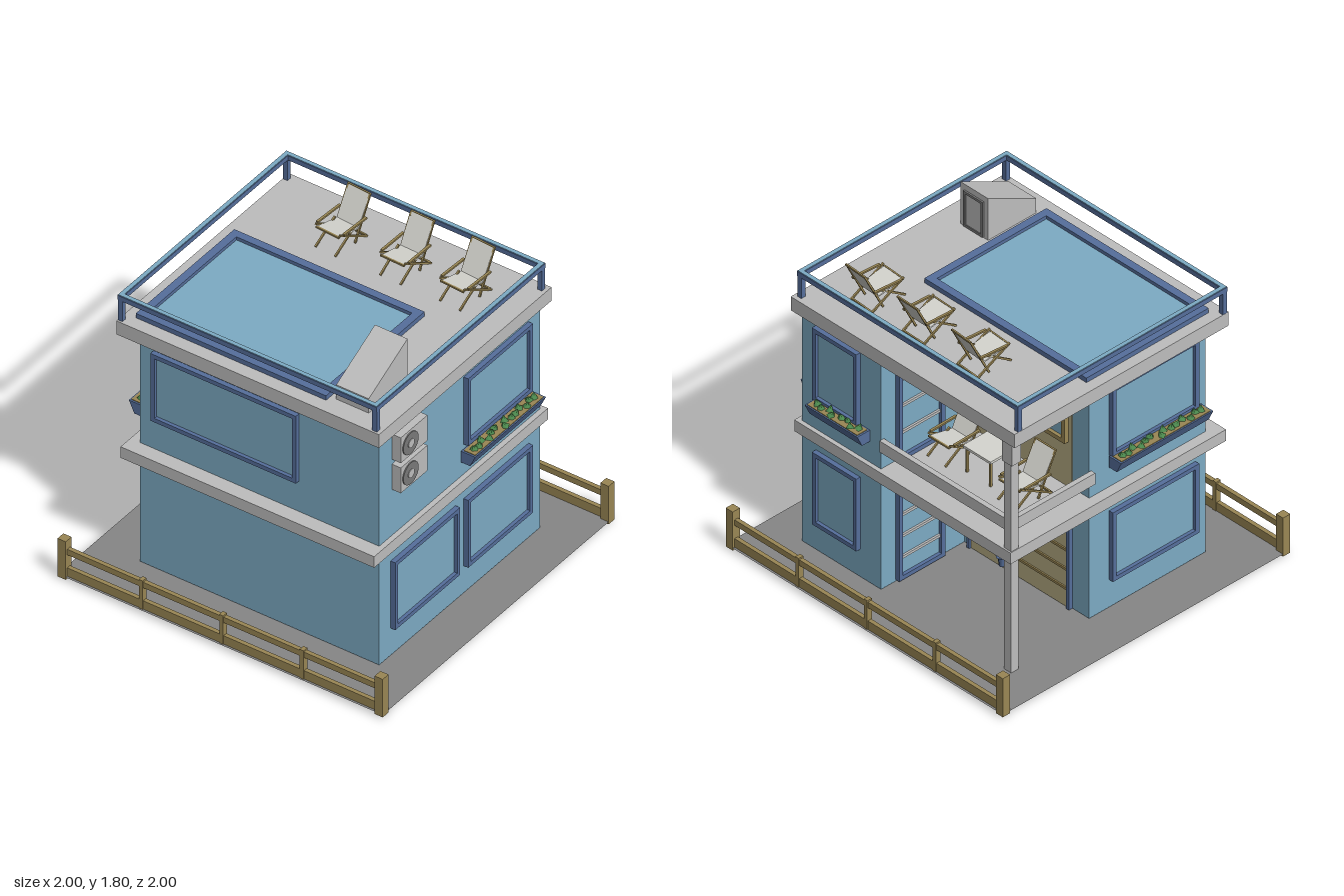
import * as THREE from 'three';

const mat = (name, color) => {
  const m = new THREE.MeshStandardMaterial({ color });
  m.name = name;
  return m;
};
const WALL = mat('wall blue', 0x7dabc4), FRAME = mat('frame blue', 0x566f9c), STONE = mat('pale stone', 0xbebebe);
const GROUND = mat('paving grey', 0x868686), WOOD = mat('fence wood', 0x9a8755), DARK = mat('dark grey', 0x7a7a7a);
const BEIGE = mat('beige panel', 0xb9ae85), LEAF = mat('leaf green', 0x4c8a4e), CLOTH = mat('canvas', 0xd6d6d0);
GROUND.side = THREE.DoubleSide;

function add(parent, name, geo, material) {
  const m = new THREE.Mesh(geo, material);
  m.name = name;
  parent.add(m);
  return m;
}
// Box given by its lower and upper limits on each axis
function box(parent, name, material, x0, x1, y0, y1, z0, z1) {
  const m = add(parent, name, new THREE.BoxGeometry(x1 - x0, y1 - y0, z1 - z0), material);
  m.position.set((x0 + x1) / 2, (y0 + y1) / 2, (z0 + z1) / 2);
  return m;
}
function group(parent, name, x = 0, y = 0, z = 0, turn = 0) {
  const g = new THREE.Group();
  g.name = name;
  g.position.set(x, y, z);
  g.rotation.y = turn;
  parent.add(g);
  return g;
}
// Straight bar in the y-z plane, at a given x
function bar(parent, name, material, x, [z0, y0], [z1, y1], w, t) {
  const m = add(parent, name, new THREE.BoxGeometry(w, t, Math.hypot(z1 - z0, y1 - y0)), material);
  m.position.set(x, (y0 + y1) / 2, (z0 + z1) / 2);
  m.rotation.x = -Math.atan2(y1 - y0, z1 - z0);
}
function ring(w, h, border, depth) {
  const s = new THREE.Shape([[-1, -1], [1, -1], [1, 1], [-1, 1]].map(([a, b]) => new THREE.Vector2(a * w / 2, b * h / 2)));
  const iw = w / 2 - border, ih = h / 2 - border;
  s.holes.push(new THREE.Path([[-1, -1], [-1, 1], [1, 1], [1, -1]].map(([a, b]) => new THREE.Vector2(a * iw, b * ih))));
  return new THREE.ExtrudeGeometry(s, { depth, bevelEnabled: false });
}
// Framed pane facing local +z, centred on its origin
function windowAt(parent, x, y, z, turn, w, h, frame = FRAME, bars = 0) {
  const g = group(parent, 'window', x, y, z, turn);
  add(g, 'windowFrame', ring(w, h, 0.025, 0.028), frame);
  box(g, 'windowPane', WALL, -w / 2 + 0.02, w / 2 - 0.02, -h / 2 + 0.02, h / 2 - 0.02, 0, 0.008);
  for (let i = 1; i <= bars; i++) {
    const by = -h / 2 + h * i / (bars + 1);
    box(g, 'windowBar', STONE, -w / 2 + 0.025, w / 2 - 0.025, by - 0.008, by + 0.008, 0.005, 0.02);
  }
}
// Tapered planter with leaves, its back on local z = 0
function planter(parent, x, y, z, turn, w) {
  const g = group(parent, 'planter', x, y, z, turn);
  const s = new THREE.Shape([[0, 0], [0.055, 0], [0.088, 0.07], [0, 0.07]].map(p => new THREE.Vector2(...p)));
  const geo = new THREE.ExtrudeGeometry(s, { depth: w, bevelEnabled: false });
  geo.rotateY(-Math.PI / 2).translate(w / 2, 0, 0);
  add(g, 'planterBox', geo, FRAME);
  box(g, 'planterSoil', WOOD, -w / 2 + 0.01, w / 2 - 0.01, 0.068, 0.074, 0.01, 0.08);
  const n = Math.round(w / 0.045);
  for (let i = 0; i < n; i++) {
    const leaf = add(g, 'leaves', new THREE.ConeGeometry(0.025, 0.036, 5), LEAF);
    leaf.position.set((i + 0.5) / n * (w - 0.04) - w / 2 + 0.02, 0.088, 0.045 + 0.016 * Math.sin(i * 2.4));
    leaf.rotation.set(0.3 * Math.sin(i * 1.7), i, 0.4 * Math.cos(i * 2.1));
  }
}
// Folding deck chair facing local +z
function deckChair(parent, x, y, z, turn) {
  const g = group(parent, 'deckChair', x, y, z, turn);
  for (const s of [-1, 1]) {
    bar(g, 'chairBackPost', WOOD, s * 0.07, [-0.13, 0.245], [-0.01, 0.005], 0.01, 0.01);
    bar(g, 'chairLeg', WOOD, s * 0.078, [0.12, 0.13], [-0.095, 0.005], 0.01, 0.01);
    bar(g, 'chairLeg', WOOD, s * 0.064, [0.14, 0.005], [-0.015, 0.105], 0.01, 0.01);
    bar(g, 'chairArm', WOOD, s * 0.085, [0.1, 0.127], [-0.08, 0.13], 0.014, 0.01);
  }
  bar(g, 'chairBackCloth', CLOTH, 0, [-0.13, 0.245], [-0.04, 0.08], 0.14, 0.008);
  bar(g, 'chairSeatCloth', CLOTH, 0, [-0.04, 0.08], [0.12, 0.115], 0.14, 0.008);
  for (const [cz, cy] of [[-0.13, 0.243], [0.12, 0.115], [-0.09, 0.01]])
    box(g, 'chairCrossBar', WOOD, -0.075, 0.075, cy - 0.005, cy + 0.005, cz - 0.005, cz + 0.005);
}
// Air conditioner on the +x wall
function airConditioner(parent, y) {
  const g = group(parent, 'airConditioner', 0.75, y, 0.455);
  box(g, 'unitCase', STONE, 0, 0.055, -0.08, 0.08, -0.115, 0.115);
  for (const [r, d, m] of [[0.066, 0.057, DARK], [0.026, 0.061, STONE]]) {
    const disc = add(g, 'unitFan', new THREE.CylinderGeometry(r, r, 0.008, 20), m);
    disc.rotation.z = Math.PI / 2;
    disc.position.set(d, 0, 0.035);
  }
  box(g, 'unitPipe', DARK, 0, 0.04, 0.02, 0.06, -0.135, -0.115);
}

export function createModel() {
  const root = new THREE.Group();
  root.name = 'house';

  // Ground and the two fences
  const ground = add(root, 'ground', new THREE.PlaneGeometry(2, 2), GROUND);
  ground.rotation.x = -Math.PI / 2;
  ground.position.y = 0.025;
  for (const z of [-0.975, 0.975]) {
    const f = group(root, 'fence', 0, 0, z);
    for (const x of [-0.975, 0.975]) box(f, 'fencePost', WOOD, x - 0.025, x + 0.025, 0.01, 0.25, -0.025, 0.025);
    box(f, 'lowerRail', WOOD, -0.96, 0.96, 0.015, 0.078, -0.012, 0.012);
    box(f, 'upperRail', WOOD, -0.96, 0.96, 0.16, 0.195, -0.012, 0.012);
    for (const x of [-0.495, 0, 0.495]) box(f, 'slimPost', WOOD, x - 0.012, x + 0.012, 0.02, 0.205, -0.016, 0.016);
  }

  // L-shaped walls, floor slab and roof slab
  box(root, 'mainWalls', WALL, -0.72, 0.75, 0.03, 1.46, -0.13, 0.68);
  box(root, 'wingWalls', WALL, 0.18, 0.75, 0.03, 1.46, -0.71, -0.13);
  box(root, 'floorSlab', STONE, -0.78, 0.78, 0.71, 0.78, -0.735, 0.765);
  box(root, 'roofSlab', STONE, -0.82, 0.795, 1.46, 1.545, -0.745, 0.745);

  // Windows: front, +x side, -x side, back wing
  const Q = Math.PI / 2;
  windowAt(root, -0.19, 1.185, 0.68, 0, 0.895, 0.425);
  windowAt(root, 0.75, 0.412, -0.33, Q, 0.56, 0.425);
  windowAt(root, 0.75, 0.412, 0.3, Q, 0.56, 0.425);
  windowAt(root, 0.75, 1.18, -0.33, Q, 0.56, 0.425);
  for (const y of [0.415, 1.19]) {
    windowAt(root, -0.72, y, 0.31, -Q, 0.6, 0.43);
    windowAt(root, 0.49, y + 0.01, -0.71, Math.PI, 0.32, 0.45);
  }
  planter(root, 0.755, 0.875, -0.325, Q, 0.61);
  planter(root, -0.73, 0.91, 0.32, -Q, 0.64);
  planter(root, 0.45, 0.91, -0.71, Math.PI, 0.38);
  airConditioner(root, 1.34);
  airConditioner(root, 1.15);

  // Recessed corner: glazed side doors, garage door, balcony wall
  windowAt(root, 0.18, 0.37, -0.45, -Q, 0.32, 0.66, FRAME, 4);
  windowAt(root, 0.18, 1.115, -0.45, -Q, 0.32, 0.66, FRAME, 3);
  box(root, 'garageDoor', BEIGE, -0.58, 0.12, 0.03, 0.68, -0.142, -0.13);
  for (let i = 0; i < 5; i++) box(root, 'garageSlat', WOOD, -0.58, 0.12, 0.14 + i * 0.12, 0.155 + i * 0.12, -0.15, -0.14);
  for (const x of [-0.6, 0.12]) box(root, 'garageJamb', FRAME, x, x + 0.02, 0.03, 0.71, -0.155, -0.13);
  box(root, 'balconyWall', BEIGE, -0.6, 0.18, 0.78, 1.46, -0.138, -0.13);
  windowAt(root, -0.255, 1.23, -0.138, Math.PI, 0.65, 0.34, WOOD);

  // Corner column, balcony rails and lantern
  box(root, 'column', STONE, -0.775, -0.725, 0, 1.46, -0.725, -0.675);
  box(root, 'columnCapital', STONE, -0.785, -0.715, 1.32, 1.46, -0.73, -0.665);
  box(root, 'balconyRail', STONE, -0.77, 0.18, 0.89, 0.96, -0.72, -0.69);
  box(root, 'balconyRail', STONE, -0.765, -0.735, 0.89, 0.96, -0.69, -0.13);
  const lantern = group(root, 'lantern', -0.63, 0.61, -0.65);
  add(lantern, 'lanternBody', new THREE.CylinderGeometry(0.024, 0.016, 0.06, 6), FRAME);
  add(lantern, 'lanternCap', new THREE.CylinderGeometry(0.012, 0.035, 0.02, 6), FRAME).position.y = 0.04;
  add(lantern, 'lanternStem', new THREE.CylinderGeometry(0.006, 0.006, 0.06, 6), FRAME).position.y = 0.075;

  // Balcony table and chairs
  const table = group(root, 'table', -0.22, 0.78, -0.33);
  box(table, 'tableTop', CLOTH, -0.1, 0.1, 0.15, 0.165, -0.1, 0.1);
  for (const x of [-0.085, 0.085]) for (const z of [-0.085, 0.085])
    box(table, 'tableLeg', WOOD, x - 0.006, x + 0.006, 0, 0.15, z - 0.006, z + 0.006);
  deckChair(root, 0.03, 0.78, -0.33, Math.PI);
  deckChair(root, -0.48, 0.78, -0.33, Math.PI);

  // Roof terrace: pool, chairs, stair hut
  const rim = add(root, 'poolRim', ring(1.17, 0.85, 0.045, 0.028), FRAME);
  rim.rotation.x = -Q;
  rim.position.set(-0.17, 1.545, 0.243);
  box(root, 'poolWater', WALL, -0.72, 0.38, 1.545, 1.553, -0.15, 0.635);
  for (const [x, t] of [[-0.285, -0.07], [0.11, -0.03], [0.48, -0.06]]) deckChair(root, x, 1.545, -0.46, t);
  const side = new THREE.Shape([[-0.63, 0], [-0.295, 0], [-0.295, 0.26], [-0.63, 0.09]].map(p => new THREE.Vector2(...p)));
  const hut = new THREE.ExtrudeGeometry(side, { depth: 0.2, bevelEnabled: false });
  add(root, 'stairHut', hut.rotateY(Q), STONE).position.set(0.45, 1.545, 0);
  const door = group(root, 'hutDoor', 0.55, 1.66, 0.295, Math.PI);
  add(door, 'hutDoorFrame', ring(0.14, 0.22, 0.015, 0.01), DARK);
  box(door, 'hutDoorPanel', STONE, -0.055, 0.055, -0.1, 0.1, 0, 0.005);

  // Roof railing with pale top strip
  const rail = add(root, 'roofRail', ring(1.595, 1.46, 0.03, 0.028), FRAME);
  const strip = add(root, 'roofRailTop', ring(1.588, 1.453, 0.023, 0.004), WALL);
  rail.rotation.x = strip.rotation.x = -Q;
  rail.position.set(-0.022, 1.675, 0.008);
  strip.position.set(-0.022, 1.702, 0.008);
  for (const x of [-0.805, 0.76]) for (const z of [-0.705, 0.72])
    box(root, 'roofRailPost', FRAME, x - 0.014, x + 0.014, 1.545, 1.68, z - 0.014, z + 0.014);
  return root;
}
